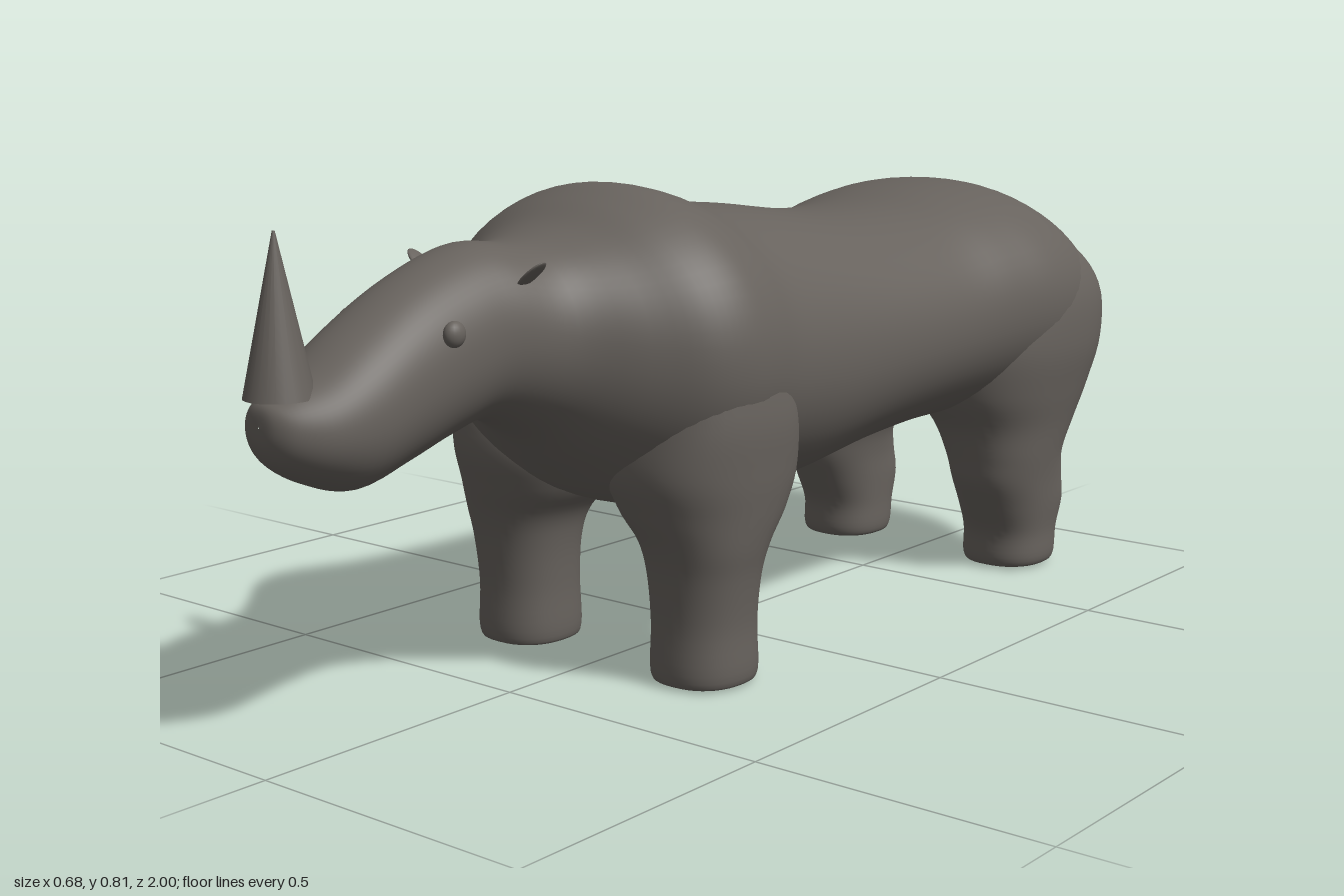
import * as THREE from 'three';

const hide = new THREE.MeshStandardMaterial({ color: 0x67625d });
hide.name = 'greyHide';

// Catmull-Rom blend through rows of numbers
function sampleRows(rows, t) {
  const i = Math.min(Math.floor(t), rows.length - 2), f = t - i;
  const at = k => rows[Math.max(0, Math.min(rows.length - 1, k))];
  return rows[i].map((p, c) => {
    const q = at(i + 1)[c], m0 = (q - at(i - 1)[c]) / 2, m1 = (at(i + 2)[c] - p) / 2;
    return p + m0 * f + (3 * (q - p) - 2 * m0 - m1) * f * f + (2 * (p - q) + m0 + m1) * f * f * f;
  });
}

// Loft of super-ellipse rings; row = [axis, minU, maxU, minV, maxV], place maps (axis, u, v) to a point
function loft(rows, place, { sides = 48, steps = 5, power = 2.2 } = {}) {
  const pos = [], index = [], rings = (rows.length - 1) * steps;
  const se = w => Math.sign(w) * Math.abs(w) ** (2 / power);
  for (let i = 0; i <= rings; i++) {
    const [a, u0, u1, v0, v1] = sampleRows(rows, i / steps);
    for (let j = 0; j < sides; j++) {
      const ang = j / sides * Math.PI * 2;
      pos.push(...place(a,
        (u0 + u1) / 2 + (u1 - u0) / 2 * se(Math.cos(ang)),
        (v0 + v1) / 2 + (v1 - v0) / 2 * se(Math.sin(ang))));
      if (i < rings) {
        const p = i * sides + j, q = i * sides + (j + 1) % sides;
        index.push(p, q, p + sides, q, q + sides, p + sides);
      }
    }
  }
  const g = new THREE.BufferGeometry();
  g.setAttribute('position', new THREE.Float32BufferAttribute(pos, 3));
  g.setIndex(index);
  g.computeVertexNormals();
  return g;
}

const alongZ = (z, x, y) => [x, y, z];
const alongY = (y, z, x) => [x, y, z];

export function createModel() {
  const model = new THREE.Group();
  const add = (name, geometry) => {
    const mesh = new THREE.Mesh(geometry, hide);
    mesh.name = name;
    model.add(mesh);
    return mesh;
  };

  // Body, neck and head: z, half width, bottom, top
  const body = [
    [-0.965, 0.001, 0.519, 0.521], [-0.962, 0.13, 0.44, 0.58], [-0.935, 0.225, 0.39, 0.625],
    [-0.86, 0.292, 0.34, 0.70], [-0.76, 0.325, 0.31, 0.745], [-0.66, 0.333, 0.30, 0.755],
    [-0.55, 0.318, 0.30, 0.745], [-0.42, 0.30, 0.298, 0.723], [-0.25, 0.296, 0.285, 0.725],
    [-0.05, 0.295, 0.257, 0.75], [0.1, 0.303, 0.262, 0.767], [0.2, 0.32, 0.27, 0.797],
    [0.27, 0.322, 0.275, 0.806], [0.34, 0.295, 0.305, 0.785], [0.41, 0.23, 0.36, 0.75],
    [0.49, 0.155, 0.425, 0.731], [0.58, 0.122, 0.462, 0.737], [0.66, 0.113, 0.447, 0.718],
    [0.75, 0.11, 0.42, 0.68], [0.84, 0.106, 0.398, 0.627], [0.91, 0.089, 0.418, 0.58],
    [0.96, 0.06, 0.448, 0.555], [0.982, 0.03, 0.48, 0.54], [0.986, 0.001, 0.511, 0.513],
  ].map(([z, w, bottom, top]) => [z, -w, w, bottom, top]);
  add('body', loft(body, (z, x, y) => {
    // shallow cleft down the middle of the rump
    const rear = THREE.MathUtils.smoothstep(-z, 0.85, 0.96);
    return alongZ(z + 0.015 * rear * Math.exp(-((x / 0.07) ** 2)), x, y);
  }, { power: 2.1, sides: 64 }));

  // Legs: y, back z, front z, inner x, outer x
  const frontLeg = [
    [0, 0.24, 0.244, 0.19, 0.194], [0.002, 0.175, 0.31, 0.13, 0.26], [0.016, 0.157, 0.33, 0.113, 0.28],
    [0.1, 0.16, 0.328, 0.113, 0.28], [0.18, 0.157, 0.334, 0.107, 0.289], [0.235, 0.138, 0.346, 0.092, 0.3],
    [0.29, 0.09, 0.366, 0.05, 0.309], [0.36, 0.06, 0.385, 0.03, 0.317], [0.46, 0.08, 0.37, 0.06, 0.32],
    [0.58, 0.14, 0.34, 0.1, 0.29], [0.64, 0.24, 0.242, 0.19, 0.192],
  ];
  const backLeg = [
    [0, -0.726, -0.722, 0.19, 0.194], [0.002, -0.795, -0.655, 0.13, 0.26], [0.016, -0.813, -0.637, 0.113, 0.28],
    [0.07, -0.823, -0.634, 0.112, 0.281], [0.125, -0.842, -0.607, 0.11, 0.287], [0.18, -0.833, -0.578, 0.108, 0.292],
    [0.23, -0.825, -0.567, 0.098, 0.299], [0.29, -0.863, -0.55, 0.07, 0.309], [0.36, -0.912, -0.51, 0.025, 0.324],
    [0.45, -0.945, -0.5, 0.02, 0.338], [0.55, -0.94, -0.53, 0.04, 0.328], [0.63, -0.86, -0.6, 0.1, 0.28],
    [0.68, -0.726, -0.724, 0.19, 0.192],
  ];
  for (const [side, s] of [['left', 1], ['right', -1]]) {
    for (const [name, rows] of [['FrontLeg', frontLeg], ['BackLeg', backLeg]]) {
      const sided = rows.map(([y, z0, z1, a, b]) => [y, z0, z1, ...(s > 0 ? [a, b] : [-b, -a])]);
      add(side + name, loft(sided, alongY, { power: 2.3, sides: 40 }));
    }

    // Eyes
    const eye = add(side + 'Eye', new THREE.SphereGeometry(0.019, 20, 14));
    eye.scale.set(0.75, 1.05, 1);
    eye.position.set(s * 0.113, 0.622, 0.715);

    // Small leaf-shaped ears leaning outward
    const ear = add(side + 'Ear', new THREE.SphereGeometry(1, 16, 12));
    ear.scale.set(0.005, 0.034, 0.017);
    ear.position.set(s * 0.118, 0.693, 0.558);
    ear.rotation.z = -s * 0.9;
  }

  // Upright nose horn
  add('horn', new THREE.CylinderGeometry(0.002, 0.052, 0.235, 24)).position.set(0, 0.667, 0.947);

  // Tail with a flared tuft: y, back z, front z, half width
  const tail = [
    [0.458, -0.972, -0.968, 0.001], [0.468, -0.983, -0.945, 0.028], [0.485, -0.998, -0.935, 0.04],
    [0.51, -0.984, -0.93, 0.036], [0.55, -0.973, -0.925, 0.022], [0.61, -0.968, -0.915, 0.024],
    [0.66, -0.96, -0.893, 0.028], [0.69, -0.945, -0.89, 0.026], [0.703, -0.92, -0.9, 0.012],
    [0.705, -0.912, -0.91, 0.001],
  ].map(([y, z0, z1, w]) => [y, z0, z1, -w, w]);
  add('tail', loft(tail, alongY, { sides: 16, steps: 3, power: 2 }));

  return model;
}
